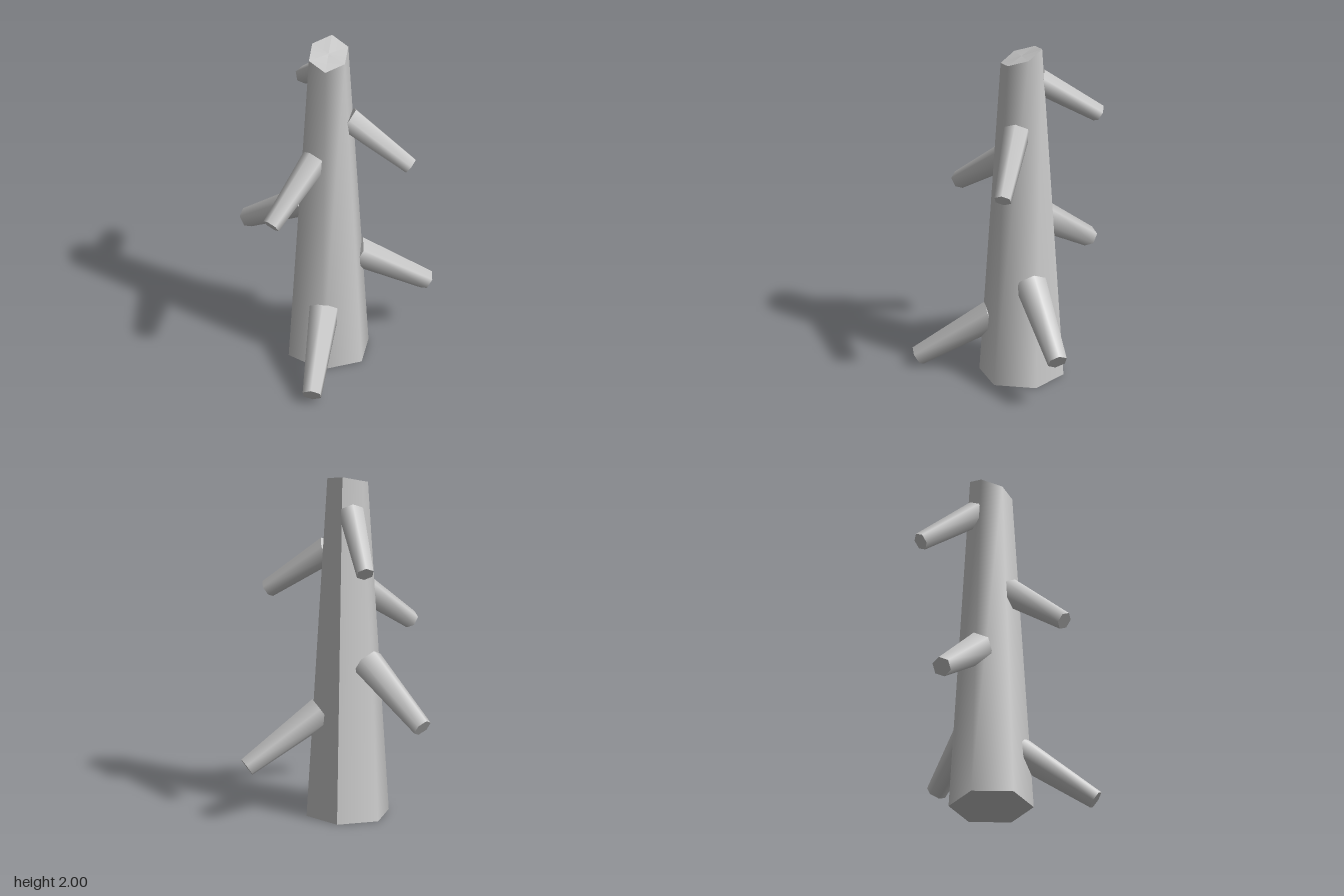
import * as THREE from 'three';

const material = new THREE.MeshStandardMaterial({ color: 0xcccccc });

// Tapered six-sided trunk with a slanted, slightly curved cut at the top
function createTrunk() {
  const geometry = new THREE.CylinderGeometry(0.118, 0.2385, 2, 6, 1, false, Math.PI);
  const pos = geometry.attributes.position;
  for (let i = 0; i < pos.count; i++) {
    const z = pos.getZ(i);
    pos.setY(i, pos.getY(i) > 0 ? 1.948 - 0.316 * z - 9 * z ** 3 : 0);
  }
  geometry.computeVertexNormals();
  const trunk = new THREE.Mesh(geometry, material);
  trunk.name = 'trunk';
  return trunk;
}

// Drooping stub: starts at `reach` from the trunk axis, heading in degrees from +z towards +x
function createBranch({ name, heading, reach, baseY, tipReach, tipY, baseR, tipR }) {
  const run = tipReach - reach;
  const drop = baseY - tipY;
  const length = Math.hypot(run, drop);
  const geometry = new THREE.CylinderGeometry(tipR, baseR, length, 6);
  geometry.rotateX(Math.PI / 2);
  geometry.translate(0, 0, length / 2);
  geometry.rotateX(Math.atan2(drop, run));
  geometry.translate(0, baseY, reach);
  const branch = new THREE.Mesh(geometry, material);
  branch.rotation.y = THREE.MathUtils.degToRad(heading);
  branch.name = name;
  return branch;
}

export function createModel() {
  const model = new THREE.Group();
  model.name = 'treeStump';
  model.add(createTrunk());

  // Three thick lower branches and three thinner upper ones
  const lower = { reach: 0.155, tipReach: 0.585, baseR: 0.09, tipR: 0.057 };
  const upper = { reach: 0.11, tipReach: 0.468, baseR: 0.078, tipR: 0.051 };
  const branches = [
    { ...lower, name: 'lowerFrontBranch', heading: 0, baseY: 0.342, tipY: 0.05 },
    { ...lower, name: 'lowerLeftBranch', heading: 120, baseY: 0.607, tipY: 0.315 },
    { ...lower, name: 'lowerRightBranch', heading: -120, baseY: 0.915, tipY: 0.623 },
    { ...upper, name: 'upperFrontBranch', heading: -33, baseY: 1.3, tipY: 1.03, tipReach: 0.478 },
    { ...upper, name: 'upperLeftBranch', heading: 87, baseY: 1.533, tipY: 1.268 },
    { ...upper, name: 'upperBackBranch', heading: -153, baseY: 1.787, tipY: 1.533, reach: 0.092, tipReach: 0.45, baseR: 0.073 },
  ];
  for (const b of branches) model.add(createBranch(b));

  // The trunk stands a little behind the centre
  model.position.set(-0.007, 0, -0.0925);
  const root = new THREE.Group();
  root.name = 'trunkWithBranches';
  root.add(model);
  return root;
}
